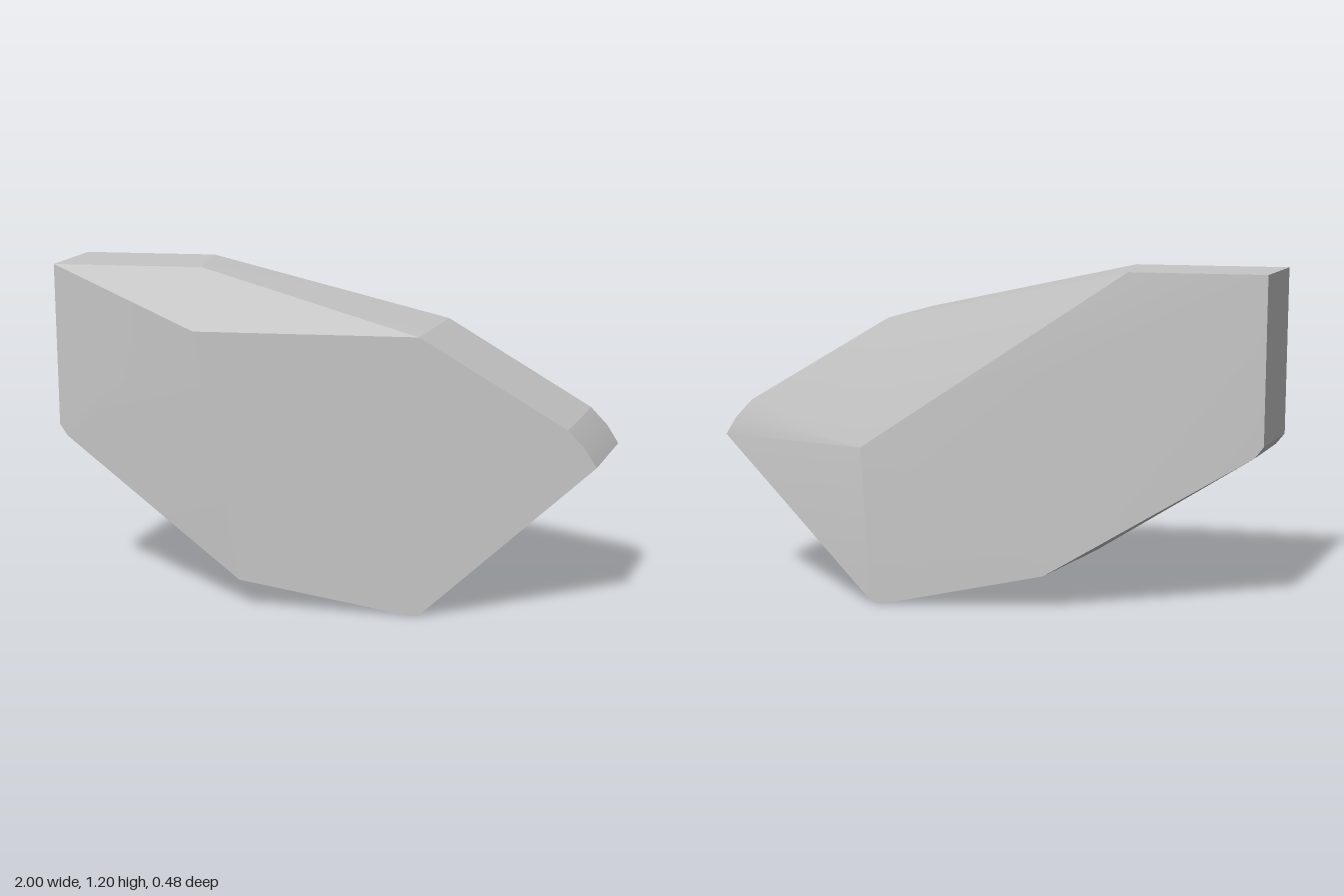
import * as THREE from 'three';
import { ConvexGeometry } from 'three/addons/geometries/ConvexGeometry.js';
import { toCreasedNormals } from 'three/addons/utils/BufferGeometryUtils.js';

export function createModel() {
  const group = new THREE.Group();
  group.name = 'rock';

  const stone = new THREE.MeshStandardMaterial({ color: 0xc6c6c6 });
  stone.name = 'stone grey';

  // Corners of the front face, clockwise from the top left
  const front = [
    [-1, 1.195, 0.055], [-0.47, 1.195, 0.055], [-0.47, 1.005, 0.24],
    [0.31, 1.005, 0.24], [0.82, 0.695, 0.24], [0.88, 0.63, 0.24], [0.92, 0.565, 0.24],
    [0.32, 0.005, 0.24], [0.29, 0, 0.24],
    [-0.32, 0.11, 0.24], [-0.97, 0.57, 0.065], [-1, 0.61, 0.055],
  ];

  // Corners of the back, in the same order, with the raised corner last
  const back = [
    [-0.94, 1.195, -0.2], [-0.47, 1.195, -0.2],
    [0.39, 1.005, -0.09], [0.9, 0.695, -0.09], [0.96, 0.63, -0.09], [1, 0.565, -0.09],
    [0.43, 0.01, -0.24], [0.39, 0, -0.24],
    [-0.19, 0.13, -0.24], [-0.28, 0.185, -0.239], [-0.91, 0.57, -0.203], [-0.94, 0.61, -0.2],
    [0.46, 0.565, -0.24],
  ];

  // Cut stone body: only near-level facets blend, the rest stay crisp
  const corners = [...front, ...back].map((p) => new THREE.Vector3(...p));
  const body = new THREE.Mesh(toCreasedNormals(new ConvexGeometry(corners), 0.2), stone);
  body.name = 'rockBody';
  group.add(body);

  return group;
}
